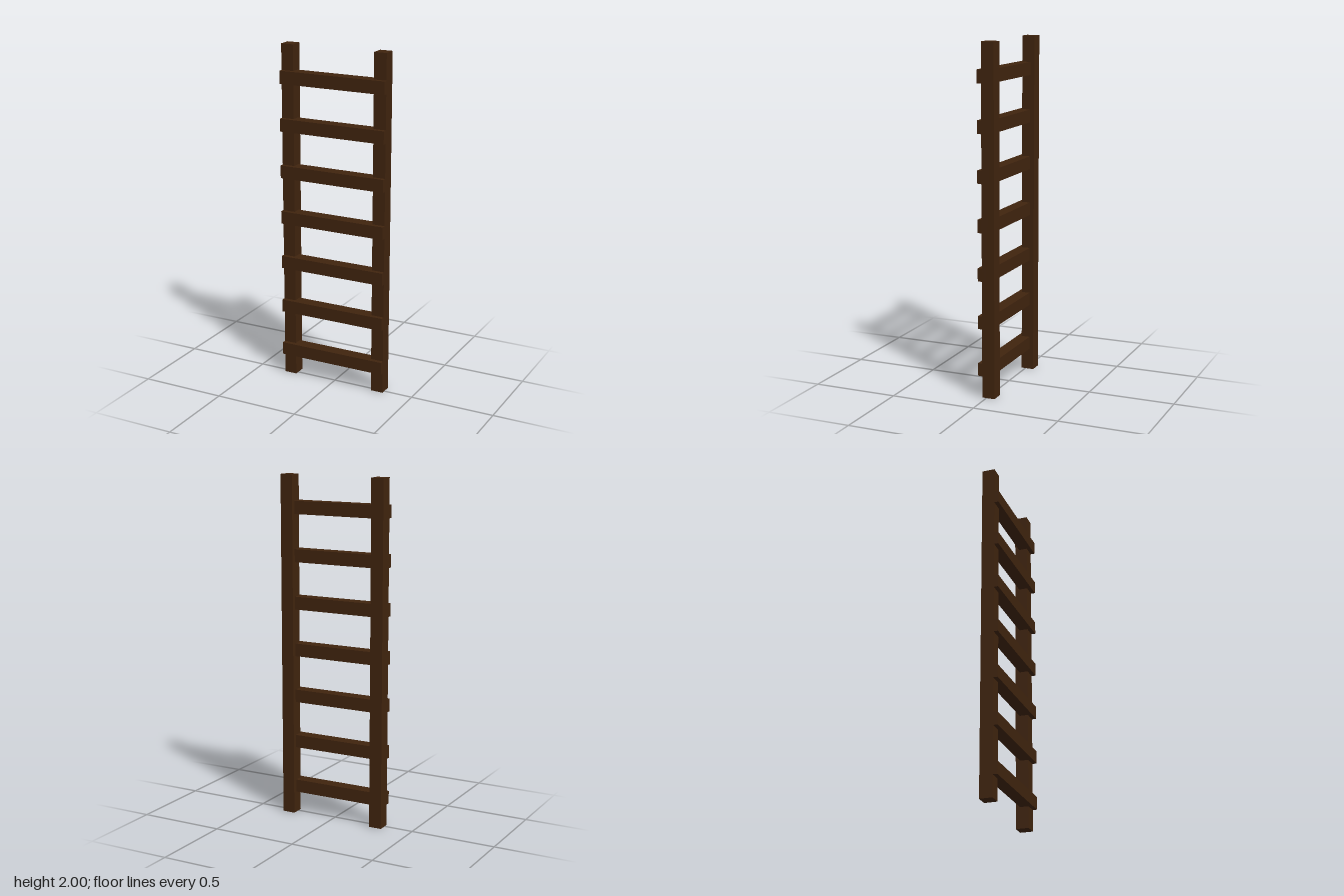
import * as THREE from 'three';

export function createModel() {
  const model = new THREE.Group();
  model.name = 'ladder';

  const darkWood = new THREE.MeshStandardMaterial({ color: 0x40240e });
  darkWood.name = 'darkWood';

  const beam = 0.075; // square section shared by rails and rungs

  const addBeam = (name, geometry, x, y, z) => {
    const mesh = new THREE.Mesh(geometry, darkWood);
    mesh.name = name;
    mesh.position.set(x, y, z);
    model.add(mesh);
  };

  // Two upright rails, set towards the back
  const railGeometry = new THREE.BoxGeometry(beam, 2, beam);
  addBeam('leftRail', railGeometry, 0.2875, 1, -0.0125);
  addBeam('rightRail', railGeometry, -0.2875, 1, -0.0125);

  // Seven rungs notched into the front of the rails
  const rungGeometry = new THREE.BoxGeometry(0.65, beam, beam);
  for (let i = 0; i < 7; i++) {
    addBeam(`rung${i + 1}`, rungGeometry, 0, 0.1625 + i * 0.275, 0.0125);
  }

  return model;
}
